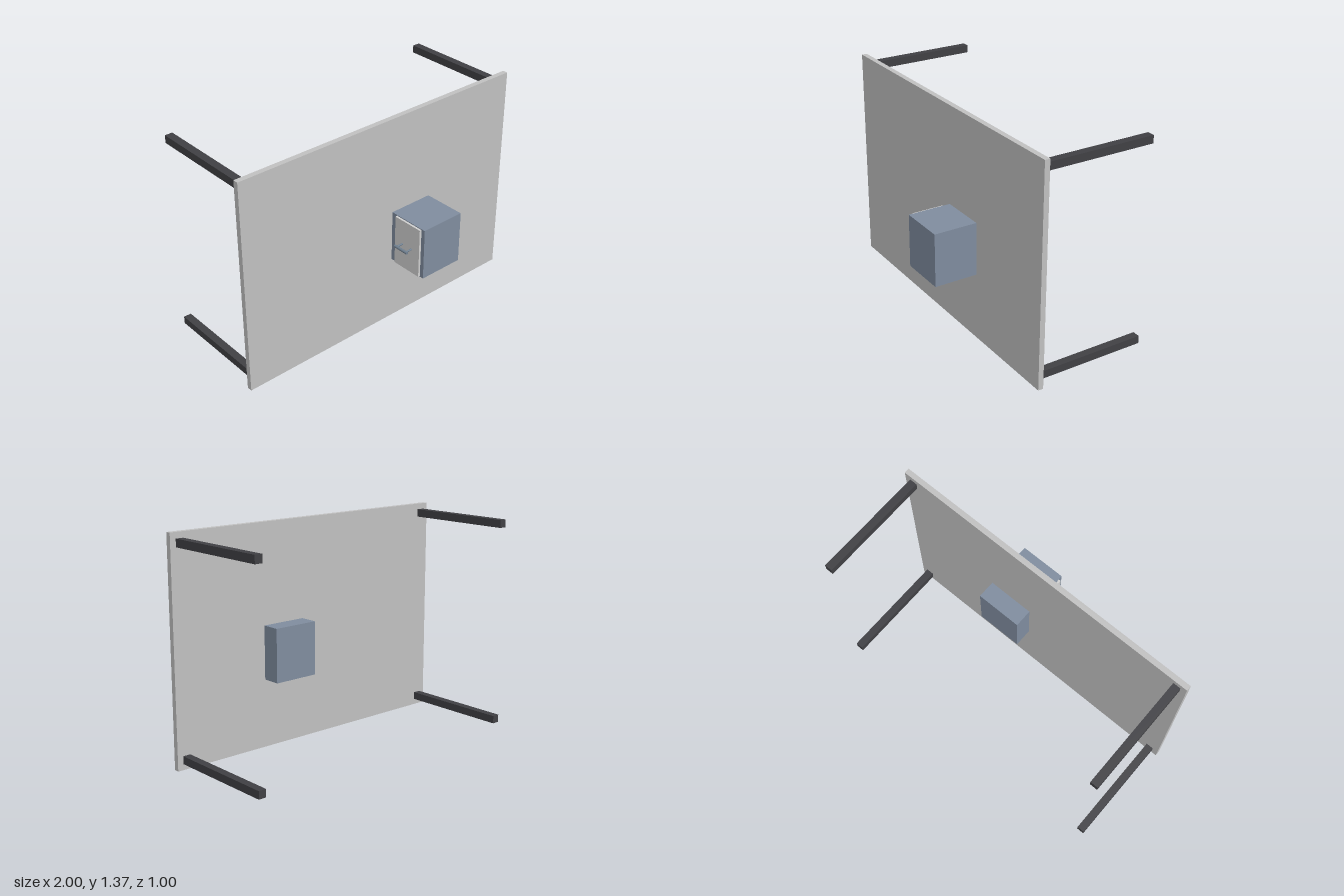
import * as THREE from 'three';

const material = (name, color) => {
  const m = new THREE.MeshStandardMaterial({ color });
  m.name = name;
  return m;
};

export function createModel() {
  const group = new THREE.Group();
  const silver = material('silver grey', 0xc0c0c0);
  const charcoal = material('charcoal', 0x404044);
  const slate = material('slate blue', 0x7f8c9e);
  const pale = material('pale grey', 0xcfcfcf);
  const steel = material('steel blue', 0x708090);

  const add = (name, geometry, mat, x, y, z) => {
    const mesh = new THREE.Mesh(geometry, mat);
    mesh.name = name;
    mesh.position.set(x, y, z);
    group.add(mesh);
    return mesh;
  };
  // Box given by its extents on each axis
  const box = (name, mat, [x0, x1], [y0, y1], [z0, z1]) =>
    add(name, new THREE.BoxGeometry(x1 - x0, y1 - y0, z1 - z0), mat,
      (x0 + x1) / 2, (y0 + y1) / 2, (z0 + z1) / 2);

  // Upright table top
  box('tableTop', silver, [-1, 1], [0, 1.367], [0.198, 0.231]);

  // Four square legs reaching back from the corners
  for (const sx of [-1, 1]) {
    for (const y of [0.06, 1.307]) {
      add('leg', new THREE.BoxGeometry(0.048, 0.048, 0.698), charcoal, sx * 0.939, y, -0.151);
    }
  }

  // Cabinet passing through the top
  box('cabinet', slate, [0.072, 0.365], [0.422, 0.753], [0.084, 0.502]);

  // Drawer front on the cabinet's side
  box('drawerFront', pale, [0.058, 0.072], [0.427, 0.748], [0.272, 0.476]);

  // Bar handle on two posts
  const bar = add('handleBar', new THREE.CylinderGeometry(0.009, 0.009, 0.104, 16), steel, 0.012, 0.588, 0.373);
  bar.rotation.x = Math.PI / 2;
  for (const z of [0.335, 0.411]) {
    const post = add('handlePost', new THREE.CylinderGeometry(0.006, 0.006, 0.048, 12), steel, 0.035, 0.588, z);
    post.rotation.z = Math.PI / 2;
  }
  return group;
}
